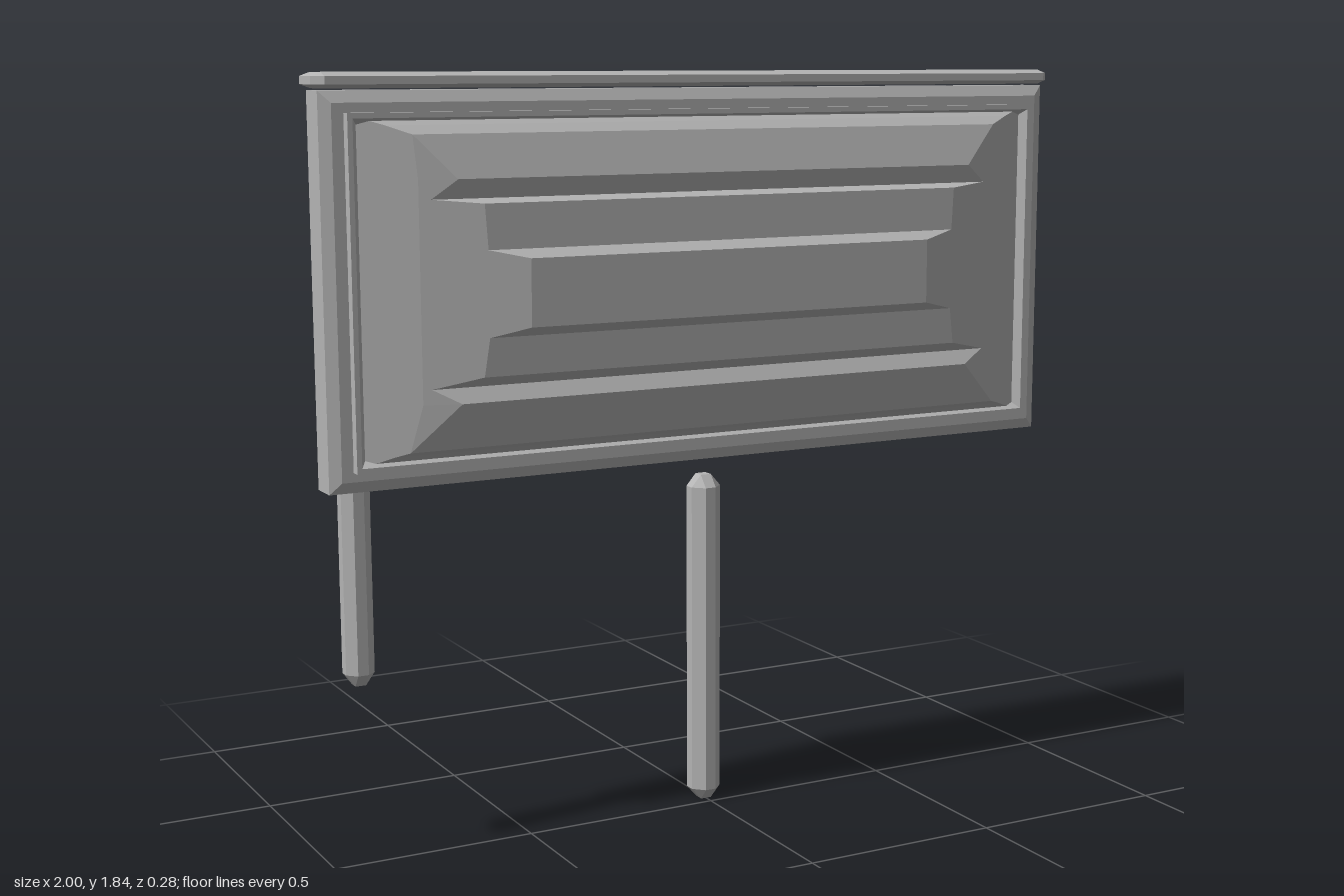
import * as THREE from 'three';
import { ConvexGeometry } from 'three/addons/geometries/ConvexGeometry.js';

const MID_Y = 1.343;

// Box with all edges chamfered; sizes are half extents, c is the chamfer per axis
function chamferBox(w, h, d, [cx, cy, cz]) {
  const pts = [];
  for (const x of [-1, 1]) for (const y of [-1, 1]) for (const z of [-1, 1]) {
    pts.push(
      new THREE.Vector3(x * w, y * (h - cy), z * (d - cz)),
      new THREE.Vector3(x * (w - cx), y * h, z * (d - cz)),
      new THREE.Vector3(x * (w - cx), y * (h - cy), z * d));
  }
  return new ConvexGeometry(pts);
}

// Mesh from a grid of points, rows of equal length
function gridGeometry(rows, closed) {
  const n = rows[0].length, pos = [], index = [];
  rows.forEach(r => r.forEach(p => pos.push(...p)));
  const count = closed ? rows.length : rows.length - 1;
  for (let r = 0; r < count; r++) {
    const s = (r + 1) % rows.length;
    for (let i = 0; i < n - 1; i++) {
      const a = r * n + i, b = a + 1, c = s * n + i, d = c + 1;
      index.push(a, b, d, a, d, c);
    }
  }
  const g = new THREE.BufferGeometry();
  g.setAttribute('position', new THREE.Float32BufferAttribute(pos, 3));
  g.setIndex(index);
  g.computeVertexNormals();
  return g;
}

// Mitred rectangular frame; section points are [inset from outer edge, z]
function frameGeometry(hw, hh, section) {
  const closedSection = [...section, section[0]];
  const corners = [[-1, -1], [1, -1], [1, 1], [-1, 1]];
  return gridGeometry(corners.map(([sx, sy]) => closedSection.map(([u, z]) =>
    [sx * (hw - u), MID_Y + sy * (hh - u), z])), true);
}

// Raised panel: moulding profile [y, depth] swept in x, cut by sloping ends [half width, depth]
function panelGeometry(profile, ends, side) {
  const [[x0, d0], [x1, d1], [x2, d2]] = ends;
  const halfWidth = d => d < d1
    ? THREE.MathUtils.mapLinear(d, d0, d1, x0, x1)
    : THREE.MathUtils.mapLinear(d, d1, d2, x1, x2);
  const rows = profile.map(([y, d]) => {
    const x = halfWidth(d);
    const half = [[x0, d0], [Math.max(x, x1), Math.min(d, d1)], [x, d]];
    const left = half.map(([px, pd]) => [-side * px, y, side * pd]);
    const right = half.map(([px, pd]) => [side * px, y, side * pd]).reverse();
    return [...left, ...right];
  });
  return gridGeometry(rows, false);
}

export function createModel() {
  const group = new THREE.Group();
  const grey = new THREE.MeshStandardMaterial({ color: 0xb4b4b4, flatShading: true, side: THREE.DoubleSide });
  grey.name = 'grey';

  const add = (name, geometry, x = 0, y = 0, z = 0) => {
    const mesh = new THREE.Mesh(geometry, grey);
    mesh.name = name;
    mesh.position.set(x, y, z);
    group.add(mesh);
  };

  // Posts: one under the middle, one at the side reaching up behind the board
  add('centrePost', chamferBox(0.04, 0.422, 0.04, [0.026, 0.03, 0.026]), 0, 0.422, -0.04);
  add('sidePost', chamferBox(0.035, 0.423, 0.035, [0.022, 0.03, 0.022]), -0.915, 0.848, -0.04);

  // Cap rail along the top
  add('topRail', chamferBox(1, 0.018, 0.063, [0.025, 0.009, 0.025]), 0, 1.819, -0.04);

  // Board frame, sloping inwards at the back, and the thin trim on its front
  add('boardFrame', frameGeometry(0.985, 0.454, [
    [0, -0.003], [0, -0.078], [0.027, -0.09],
    [0.09, -0.03], [0.09, 0], [0.055, 0.01], [0.027, 0.01]]));
  add('frontTrim', frameGeometry(0.93, 0.405, [
    [0, 0], [0.035, 0], [0.028, 0.012], [0.012, 0.035], [0, 0.035]]));

  // Front panel with stepped moulding
  add('frontPanel', panelGeometry([
    [0.945, 0.01], [0.97, 0.04], [0.98, 0.055], [1.09, 0.093], [1.125, 0.073], [1.15, 0.108],
    [1.24, 0.112], [1.262, 0.14], [1.42, 0.14], [1.44, 0.112], [1.545, 0.11],
    [1.555, 0.075], [1.60, 0.093], [1.70, 0.063], [1.72, 0.04], [1.742, 0.01]],
  [[0.915, 0.01], [0.78, 0.067], [0.54, 0.14]], 1));

  // Back panel, recessed at its edges
  add('backPanel', panelGeometry([
    [0.93, 0.015], [0.985, 0.05], [1.02, 0.045], [1.06, 0.08], [1.10, 0.075], [1.13, 0.098],
    [1.19, 0.11], [1.24, 0.098], [1.26, 0.12], [1.345, 0.138], [1.43, 0.123],
    [1.46, 0.098], [1.51, 0.11], [1.56, 0.09], [1.59, 0.075], [1.63, 0.08],
    [1.67, 0.045], [1.70, 0.05], [1.756, 0.015]],
  [[0.925, 0.015], [0.78, 0.075], [0.54, 0.138]], -1));

  return group;
}
